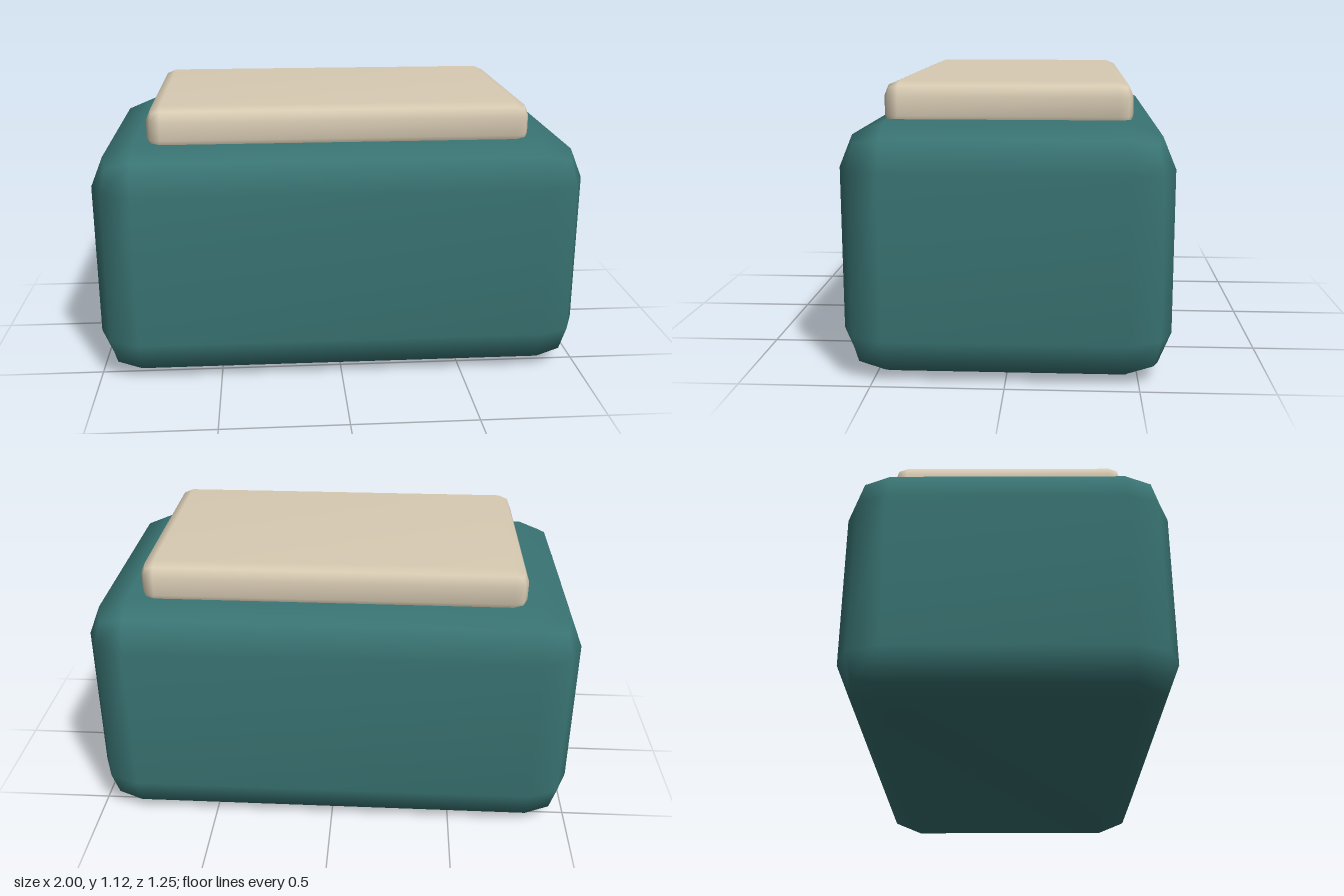
import * as THREE from 'three';
import { mergeVertices } from 'three/addons/utils/BufferGeometryUtils.js';

// Box with two-step bevels on every edge, smooth shaded
function bevelledBox(w, h, d, r) {
  const geo = new THREE.BoxGeometry(1, 1, 1, 3, 3, 3);
  const pos = geo.attributes.position;
  const inner = new THREE.Vector3(w / 2 - r, h / 2 - r, d / 2 - r);
  const p = new THREE.Vector3();
  const dir = new THREE.Vector3();
  const outward = (c) => (Math.abs(c) > 0.4 ? Math.sign(c) : 0);
  for (let i = 0; i < pos.count; i++) {
    p.fromBufferAttribute(pos, i);
    dir.set(outward(p.x), outward(p.y), outward(p.z)).normalize();
    p.set(Math.sign(p.x), Math.sign(p.y), Math.sign(p.z)).multiply(inner).addScaledVector(dir, r);
    pos.setXYZ(i, p.x, p.y, p.z);
  }
  geo.deleteAttribute('uv');
  geo.deleteAttribute('normal');
  const smooth = mergeVertices(geo);
  smooth.computeVertexNormals();
  return smooth;
}

export function createModel() {
  const group = new THREE.Group();
  const teal = new THREE.MeshStandardMaterial({ color: 0x397473 });
  teal.name = 'teal';
  const cream = new THREE.MeshStandardMaterial({ color: 0xd8cbb3 });
  cream.name = 'cream';

  const addBlock = (name, material, w, d, bottom, top, r) => {
    const mesh = new THREE.Mesh(bevelledBox(w, top - bottom, d, r), material);
    mesh.name = name;
    mesh.position.y = (bottom + top) / 2;
    group.add(mesh);
  };

  // Large rounded body
  addBlock('body', teal, 2, 1.255, 0, 0.974, 0.173);
  // Thin pad sunk slightly into the top
  addBlock('topPad', cream, 1.546, 0.944, 0.93, 1.117, 0.057);

  return group;
}
